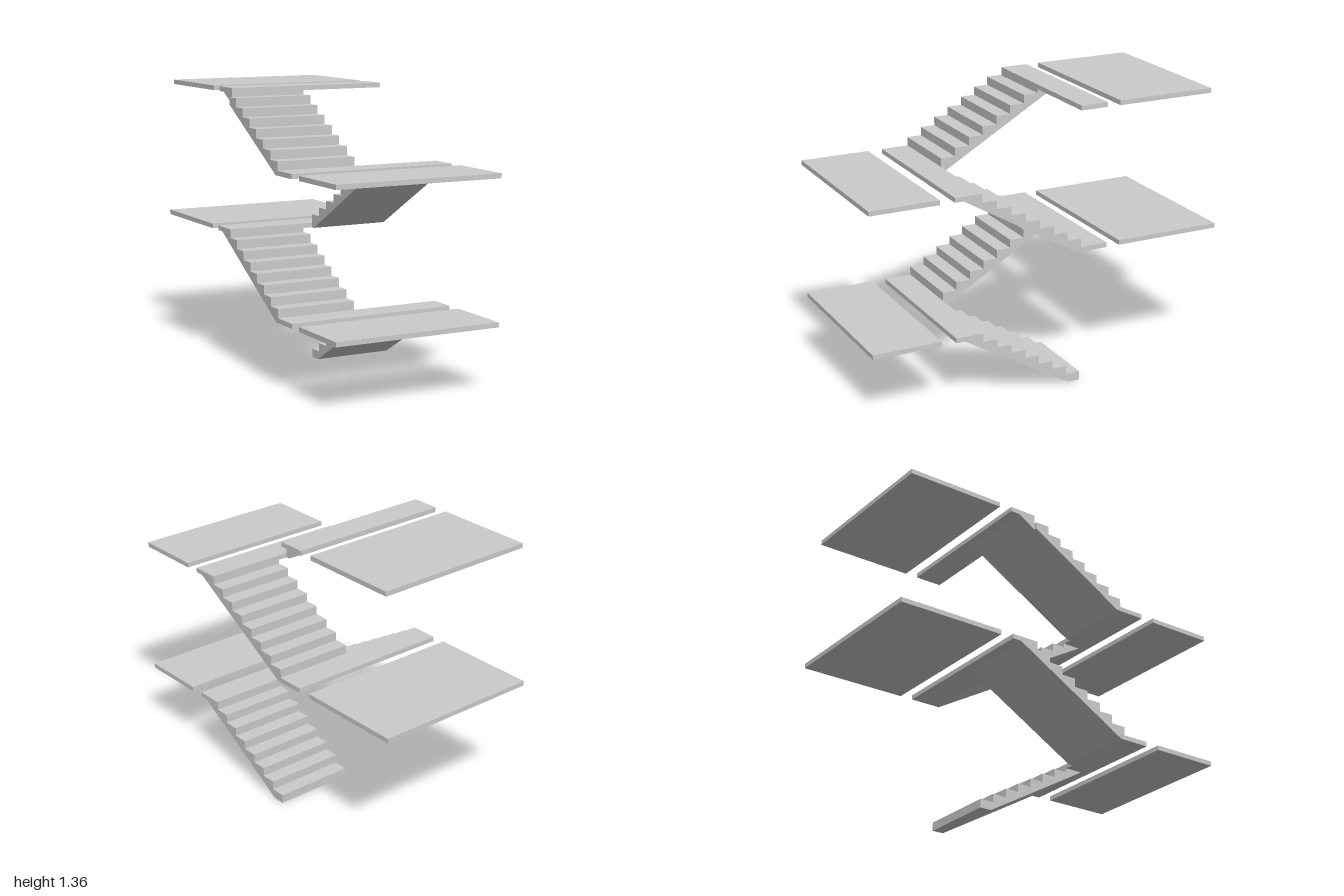
import * as THREE from 'three';

const ANGLE = 0.44;               // whole stair is turned about the vertical
const HALF = 0.422;               // half width of the stair
const TOP_HALF = 0.408;           // the uppermost landing is slightly narrower
const GAP = 0.024;                // half width of the open well
const BACK = -0.158, FRONT = 0.354; // where the flights begin and end
const RUN = FRONT - BACK;
const RISERS = 8, FLIGHTS = 4;
const RISE = 0.3408, RISER = RISE / RISERS, TREAD = RUN / (RISERS - 1);
const SLAB = 0.023;
const SLOPE = RISER / TREAD;
const SOFFIT_START = 0.06;        // where the sloped underside crosses the floor line

const material = new THREE.MeshStandardMaterial({ color: 0xcccccc, flatShading: true, side: THREE.DoubleSide });

export function createModel() {
  const model = new THREE.Group();
  model.name = 'staircase';
  const stair = new THREE.Group();
  stair.name = 'stairBody';
  stair.rotation.y = ANGLE;
  model.add(stair);

  const add = (parent, geometry, name) => {
    const mesh = new THREE.Mesh(geometry, material);
    mesh.name = name;
    parent.add(mesh);
    return mesh;
  };

  // Horizontal slab between two depths, with its upper face at top
  const slab = (name, half, z0, z1, top) => {
    const mesh = add(stair, new THREE.BoxGeometry(half * 2, SLAB, z1 - z0), name);
    mesh.position.set(0, top - SLAB / 2, (z0 + z1) / 2);
  };

  // Side profile extruded across the width of a flight
  const profile = (points, depth) => new THREE.ExtrudeGeometry(
    new THREE.Shape(points.map(([x, y]) => new THREE.Vector2(x, y))),
    { depth, bevelEnabled: false });

  for (let i = 0; i < FLIGHTS; i++) {
    const forward = i % 2 === 0;
    const last = i === FLIGHTS - 1;
    const half = last ? TOP_HALF : HALF;
    const base = i === 0 ? 0 : -SLAB;
    const soffit = (s) => SLOPE * (s - SOFFIT_START);
    const atHeight = (y) => SOFFIT_START + y / SLOPE;

    // Flights alternate between the two sides of the well
    const flight = new THREE.Group();
    flight.name = 'flight' + (i + 1);
    flight.rotation.y = forward ? -Math.PI / 2 : Math.PI / 2;
    flight.position.set(0, i * RISE, forward ? BACK : FRONT);
    stair.add(flight);

    // Stepped body with sloped underside
    const pts = [[0, base]];
    for (let k = 0; k < RISERS - 1; k++) {
      pts.push([k * TREAD, (k + 1) * RISER], [(k + 1) * TREAD, (k + 1) * RISER]);
    }
    pts.push([RUN, soffit(RUN)], [atHeight(base), base]);
    add(flight, profile(pts, HALF - GAP), 'steps').position.z = -HALF;

    // Wedge carrying the flight into the landing above
    const under = RISE - SLAB;
    add(flight, profile([[RUN, soffit(RUN)], [atHeight(under), under], [RUN, under]], half - GAP),
      'landingSupport').position.z = -half;

    // Landing strip and the separate platform beyond it
    const top = (i + 1) * RISE;
    if (forward) {
      slab('frontLanding', half, FRONT, 0.49, top);
      slab('frontPlatform', half, 0.563, 0.905, top);
    } else {
      slab('backLanding', half, -0.297, BACK, top);
      slab('backPlatform', half, last ? -0.862 : -0.905, -0.364, top);
    }
  }
  return model;
}
